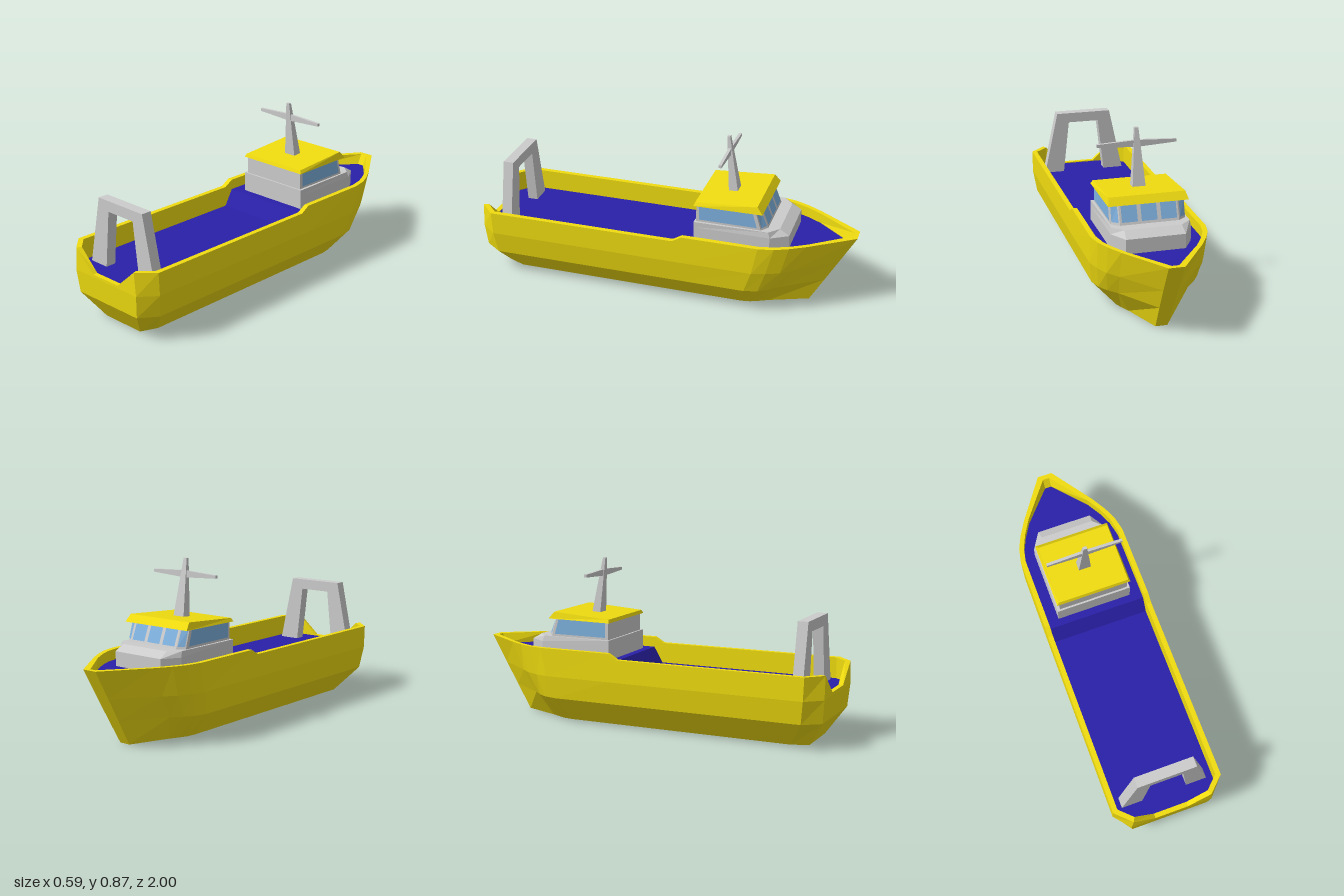
import * as THREE from 'three';

const mat = (color) => new THREE.MeshStandardMaterial({ color, flatShading: true });
const YELLOW = mat(0xf0dc10), BLUE = mat(0x2a20a8), GREY = mat(0xcccccc), GLASS = mat(0x7fb2e0);

// Flat-shaded mesh from a list of quads, corners counter-clockwise seen from outside
function quadMesh(name, quads, material) {
  const pos = [];
  for (const [a, b, c, d] of quads) pos.push(...a, ...b, ...c, ...a, ...c, ...d);
  const geo = new THREE.BufferGeometry();
  geo.setAttribute('position', new THREE.Float32BufferAttribute(pos, 3));
  geo.computeVertexNormals();
  const mesh = new THREE.Mesh(geo, material);
  mesh.name = name;
  return mesh;
}

const flip = ([x, y, z]) => [-x, y, z];

// Quads bridging a half outline (stern to bow, x > 0) to its mirror image
function span(half, up) {
  const quads = [];
  for (let i = 0; i < half.length - 1; i++) {
    const q = [half[i], half[i + 1], flip(half[i + 1]), flip(half[i])];
    quads.push(up ? q : q.reverse());
  }
  return quads;
}

// Walls joining successive mirrored half outlines, listed bottom to top
function walls(halves) {
  const rings = halves.map((h) => [...h, ...h.map(flip).reverse()]);
  const quads = [];
  for (let k = 0; k < rings.length - 1; k++) {
    const a = rings[k], b = rings[k + 1], n = a.length;
    for (let i = 0; i < n; i++) {
      const j = (i + 1) % n;
      quads.push([a[i], a[j], b[j], b[i]]);
    }
  }
  return quads;
}

const solid = (name, halves, material) => quadMesh(name,
  [...walls(halves), ...span(halves[0], false), ...span(halves[halves.length - 1], true)], material);

// Window pane set just outside a wall quad, placed by fractions along and up it
function pane([a, b, c, d], u0, u1, v0, v1) {
  const [A, B, C, D] = [a, b, c, d].map((p) => new THREE.Vector3(...p));
  const n = B.clone().sub(A).cross(D.clone().sub(A)).normalize().multiplyScalar(0.003);
  const at = (u, v) => A.clone().lerp(B, u).lerp(D.clone().lerp(C, u), v).add(n).toArray();
  return [at(u0, v0), at(u1, v0), at(u1, v1), at(u0, v1)];
}

function extrude(name, points, z, depth) {
  const shape = new THREE.Shape(points.map(([x, y]) => new THREE.Vector2(x, y)));
  const geo = new THREE.ExtrudeGeometry(shape, { depth, bevelEnabled: false });
  geo.translate(0, 0, z);
  const mesh = new THREE.Mesh(geo, GREY);
  mesh.name = name;
  return mesh;
}

export function createModel() {
  const ship = new THREE.Group();
  ship.name = 'ship';

  // Hull stations, stern to bow: [x, z] at keel, chine, side and rail, then rail height
  const stations = [
    [[0.09, 0.90], [0.09, 0.99], [0.09, 1], [0.09, 1], 0.27],
    [[0.125, 0.90], [0.21, 0.99], [0.222, 1], [0.212, 1], 0.375],
    [[0.16, 0.815], [0.275, 0.90], [0.295, 0.915], [0.295, 0.92], 0.375],
    [[0.16, -0.09], [0.275, -0.09], [0.295, -0.09], [0.295, -0.09], 0.375],
    [[0.16, -0.14], [0.275, -0.14], [0.295, -0.14], [0.295, -0.14], 0.405],
    [[0.16, -0.43], [0.275, -0.47], [0.293, -0.51], [0.295, -0.54], 0.405],
    [[0.152, -0.48], [0.257, -0.54], [0.274, -0.58], [0.278, -0.62], 0.405],
    [[0.135, -0.52], [0.225, -0.59], [0.243, -0.65], [0.247, -0.69], 0.405],
    [[0.11, -0.57], [0.18, -0.64], [0.194, -0.71], [0.2, -0.77], 0.405],
    [[0.03, -0.77], [0.035, -0.847], [0.038, -0.915], [0.04, -1], 0.405],
  ];
  const last = stations.length - 1;
  const level = (k, y) => stations.map((s) => [s[k][0], y, s[k][1]]);
  const rail = stations.map((s) => [s[3][0], s[4], s[3][1]]);
  const railInner = rail.map(([x, y, z], i) => [
    i === 0 ? x : Math.max(x - (i === 1 ? 0.012 : 0.027), 0.018), y,
    i < 2 ? z - 0.025 : i === 2 ? z - 0.01 : i === last ? z + 0.025 : z,
  ]);
  const deck = railInner.map(([x, y, z], i) => [x, i < 4 ? 0.265 : 0.35, i === last ? z + 0.028 : z]);
  const keel = level(0, 0);
  ship.add(quadMesh('hull', [
    ...walls([keel, level(1, 0.135), level(2, 0.255), rail, railInner, deck]),
    ...span(keel, false),
  ], YELLOW));
  ship.add(quadMesh('deck', span(deck, true), BLUE));

  // Deckhouse with chamfered, sloping forward end
  const baseOutline = (y) => [[0.205, y, -0.18], [0.205, y, -0.58], [0.15, y, -0.67]];
  ship.add(solid('deckhouse', [
    baseOutline(0.345), baseOutline(0.425),
    [[0.205, 0.455, -0.18], [0.2, 0.455, -0.57], [0.145, 0.455, -0.62]],
  ], GREY));

  // Wheelhouse with raked forward windows
  const low = [[0.19, 0.455, -0.19], [0.19, 0.455, -0.53], [0.15, 0.455, -0.56]];
  const high = [[0.19, 0.555, -0.19], [0.19, 0.555, -0.5], [0.15, 0.555, -0.52]];
  ship.add(solid('wheelhouse', [low, high], GREY));
  const w = walls([low, high]);
  const panes = [
    pane(w[0], 0.05, 0.95, 0.12, 0.92), pane(w[4], 0.05, 0.95, 0.12, 0.92),
    pane(w[1], 0.12, 0.88, 0.12, 0.92), pane(w[3], 0.12, 0.88, 0.12, 0.92),
  ];
  for (let i = 0; i < 3; i++) panes.push(pane(w[2], (i + 0.1) / 3, (i + 0.9) / 3, 0.12, 0.92));
  ship.add(quadMesh('windows', panes, GLASS));

  // Roof, rising forward
  ship.add(solid('roof', [
    [[0.205, 0.547, -0.178], [0.205, 0.55, -0.54]],
    [[0.195, 0.565, -0.185], [0.195, 0.587, -0.51]],
  ], YELLOW));

  // Mast and its crossbar
  ship.add(solid('mast', [
    [[0.035, 0.56, -0.32], [0.035, 0.56, -0.37]],
    [[0.01, 0.868, -0.298], [0.01, 0.868, -0.313]],
  ], GREY));
  ship.add(extrude('crossbar', [
    [-0.205, 0.781], [0, 0.77], [0.205, 0.781], [0.205, 0.796], [0, 0.806], [-0.205, 0.796],
  ], -0.322, 0.015));

  // Stern gantry
  ship.add(extrude('sternGantry', [
    [-0.235, 0.262], [-0.122, 0.262], [-0.088, 0.566], [0.088, 0.566],
    [0.122, 0.262], [0.235, 0.262], [0.157, 0.622], [-0.157, 0.622],
  ], 0.835, 0.055));

  return ship;
}
